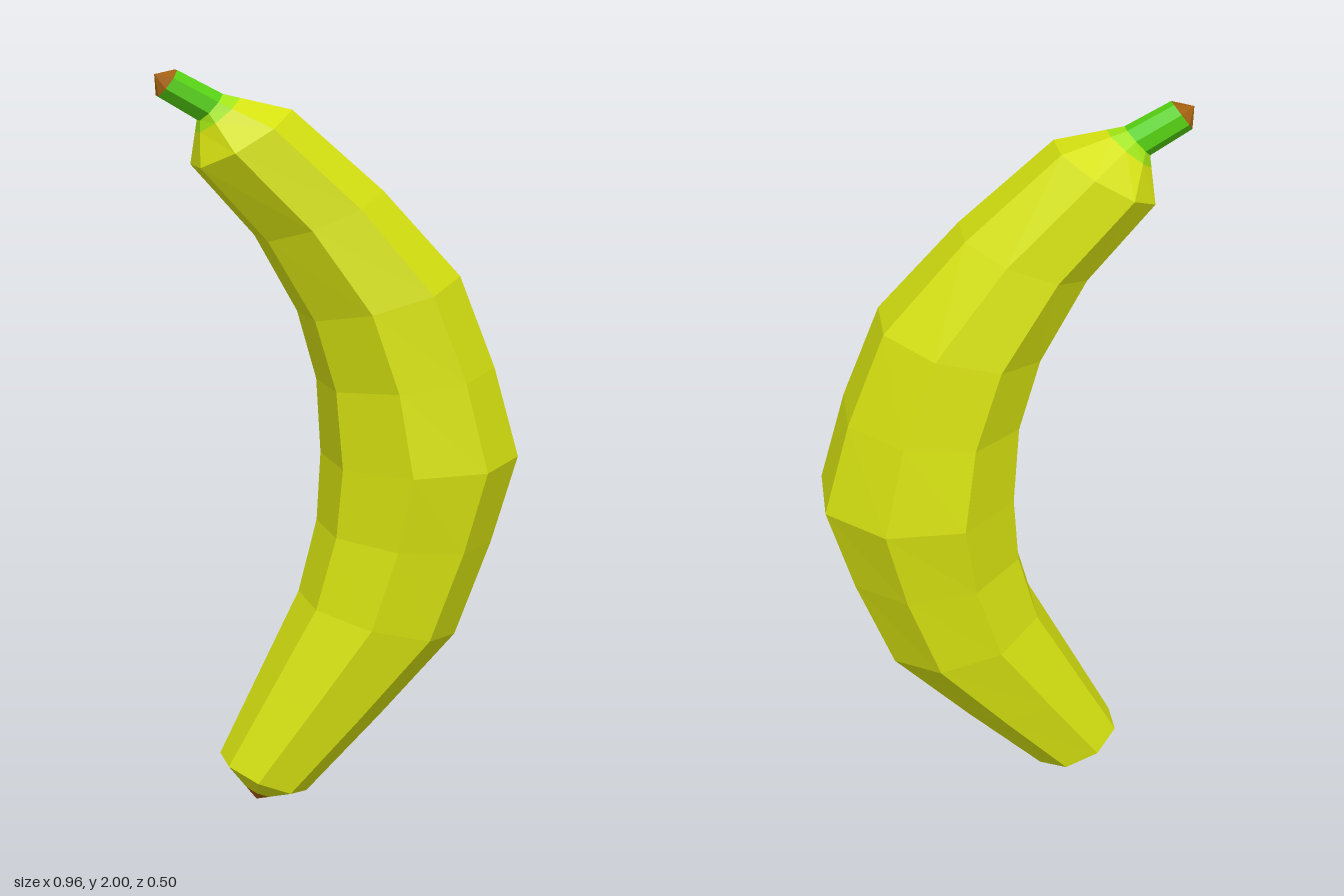
import * as THREE from 'three';

const SIDES = 8;
const material = (name, color) => {
  const m = new THREE.MeshStandardMaterial({ color, flatShading: true });
  m.name = name;
  return m;
};

// Octagonal cross-section given its inner-curve point (ix, iy) and outer-curve point (ox, oy)
function section([ix, iy, ox, oy]) {
  const cx = (ix + ox) / 2, cy = (iy + oy) / 2;
  const half = Math.hypot(ox - ix, oy - iy) / 2;
  const k = 1 / Math.cos(Math.PI / SIDES);
  return Array.from({ length: SIDES }, (_, i) => {
    const a = ((i + 0.5) / SIDES) * Math.PI * 2;
    const c = Math.cos(a) * k, s = Math.sin(a) * k;
    return [cx + (ox - cx) * c, cy + (oy - cy) * c, half * s];
  });
}

// Skin between consecutive sections; a section of zero size makes a pointed end
function loft(name, rings, mat) {
  const isPoint = (r) => r[0] === r[2] && r[1] === r[3];
  const sections = rings.map(section);
  const pos = [];
  for (let i = 0; i < rings.length - 1; i++) {
    for (let k = 0; k < SIDES; k++) {
      const n = (k + 1) % SIDES;
      const a = sections[i][k], b = sections[i][n];
      const c = sections[i + 1][n], d = sections[i + 1][k];
      if (!isPoint(rings[i + 1])) pos.push(...a, ...d, ...c);
      if (!isPoint(rings[i])) pos.push(...(isPoint(rings[i + 1]) ? [...a, ...d, ...b] : [...a, ...c, ...b]));
    }
  }
  const geo = new THREE.BufferGeometry();
  geo.setAttribute('position', new THREE.Float32BufferAttribute(pos, 3));
  geo.computeVertexNormals();
  const mesh = new THREE.Mesh(geo, mat);
  mesh.name = name;
  return mesh;
}

const mix = (a, b, t) => a.map((v, i) => v + (b[i] - v) * t);

export function createModel() {
  const yellow = material('peelYellow', 0xd4e010);
  const lime = material('collarLime', 0xa0e214);
  const green = material('stemGreen', 0x55d012);
  const brown = material('tipBrown', 0xa2600f);

  // Curved fruit, from the blossom end to the shoulder
  const body = [
    [-0.33, 0.13, -0.11, 0.03],
    [-0.21, 0.35, 0.10, 0.24],
    [-0.09, 0.57, 0.31, 0.46],
    [-0.035, 0.77, 0.41, 0.72],
    [-0.02, 0.96, 0.48, 0.96],
    [-0.035, 1.17, 0.41, 1.21],
    [-0.09, 1.36, 0.31, 1.46],
    [-0.21, 1.57, 0.10, 1.69],
    [-0.38, 1.76, -0.14, 1.90],
  ];
  const bottomPoint = [-0.24, 0, -0.24, 0];
  const bottomEdge = mix(bottomPoint, body[0], 0.36);
  const stemBase = [-0.37, 1.875, -0.31, 1.94];
  const stemEnd = [-0.474, 1.937, -0.425, 2.0];
  const stemPoint = [-0.48, 1.99, -0.48, 1.99];
  const collarEdge = mix(stemBase, body[8], 0.25);

  const group = new THREE.Group();
  group.name = 'banana';
  group.add(
    loft('blossomTip', [bottomPoint, bottomEdge], brown),
    loft('peel', [bottomEdge, ...body, collarEdge], yellow),
    loft('collar', [collarEdge, stemBase], lime),
    loft('stem', [stemBase, stemEnd], green),
    loft('stemTip', [stemEnd, stemPoint], brown),
  );
  return group;
}
